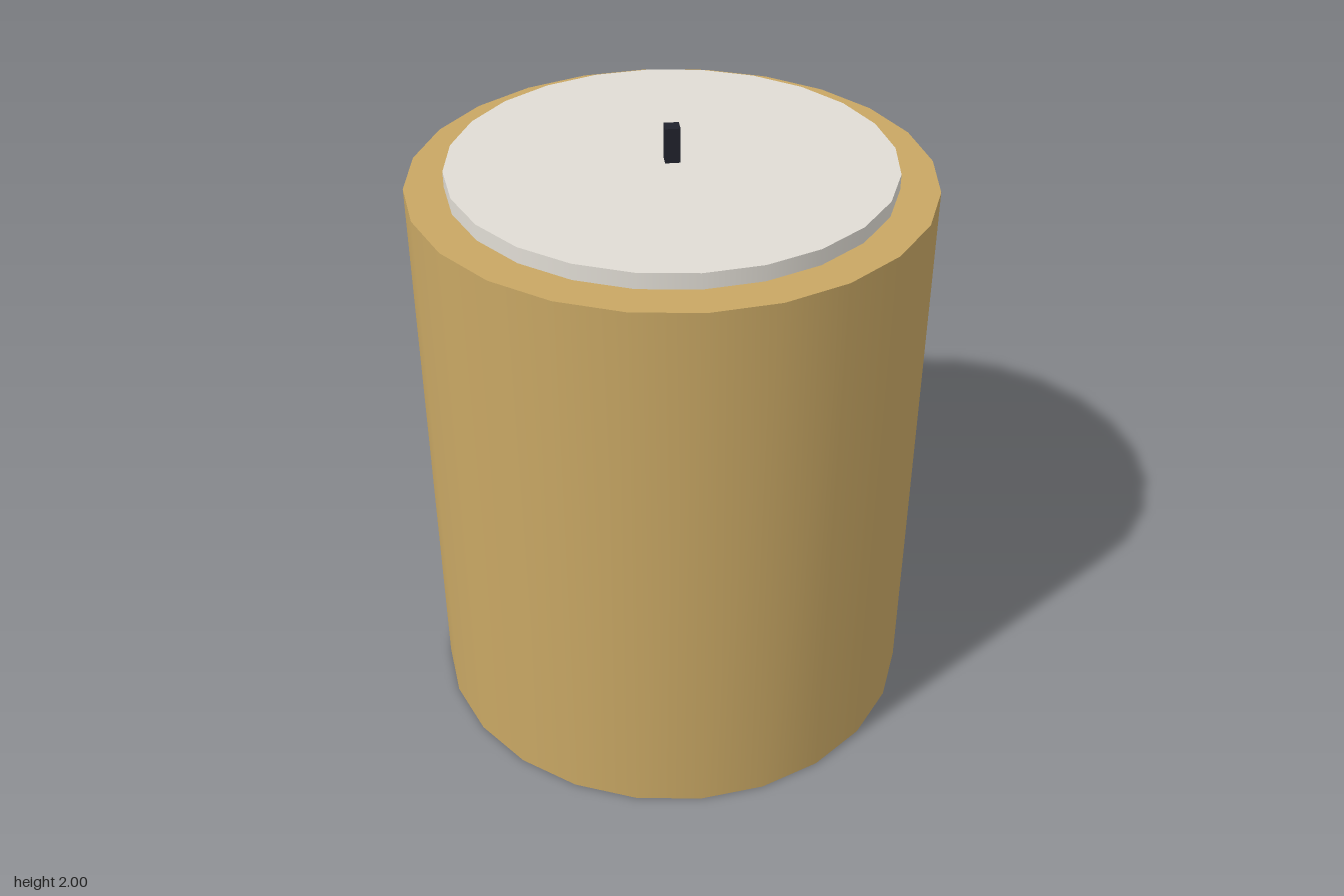
import * as THREE from 'three';

export function createModel() {
  const group = new THREE.Group();

  const add = (name, geometry, color, y) => {
    const mesh = new THREE.Mesh(geometry, new THREE.MeshStandardMaterial({ color }));
    mesh.name = name;
    mesh.position.y = y;
    group.add(mesh);
  };

  // 24-sided drum standing on the ground
  add('body', new THREE.CylinderGeometry(0.8, 0.8, 1.84, 24), 0xc8a764, 0.92);

  // Pale disc raised slightly above the rim
  add('topDisc', new THREE.CylinderGeometry(0.68, 0.68, 0.09, 24), 0xe0dcd4, 1.845);

  // Short square post in the centre
  add('wick', new THREE.BoxGeometry(0.046, 0.12, 0.046), 0x20222c, 1.94);

  return group;
}
